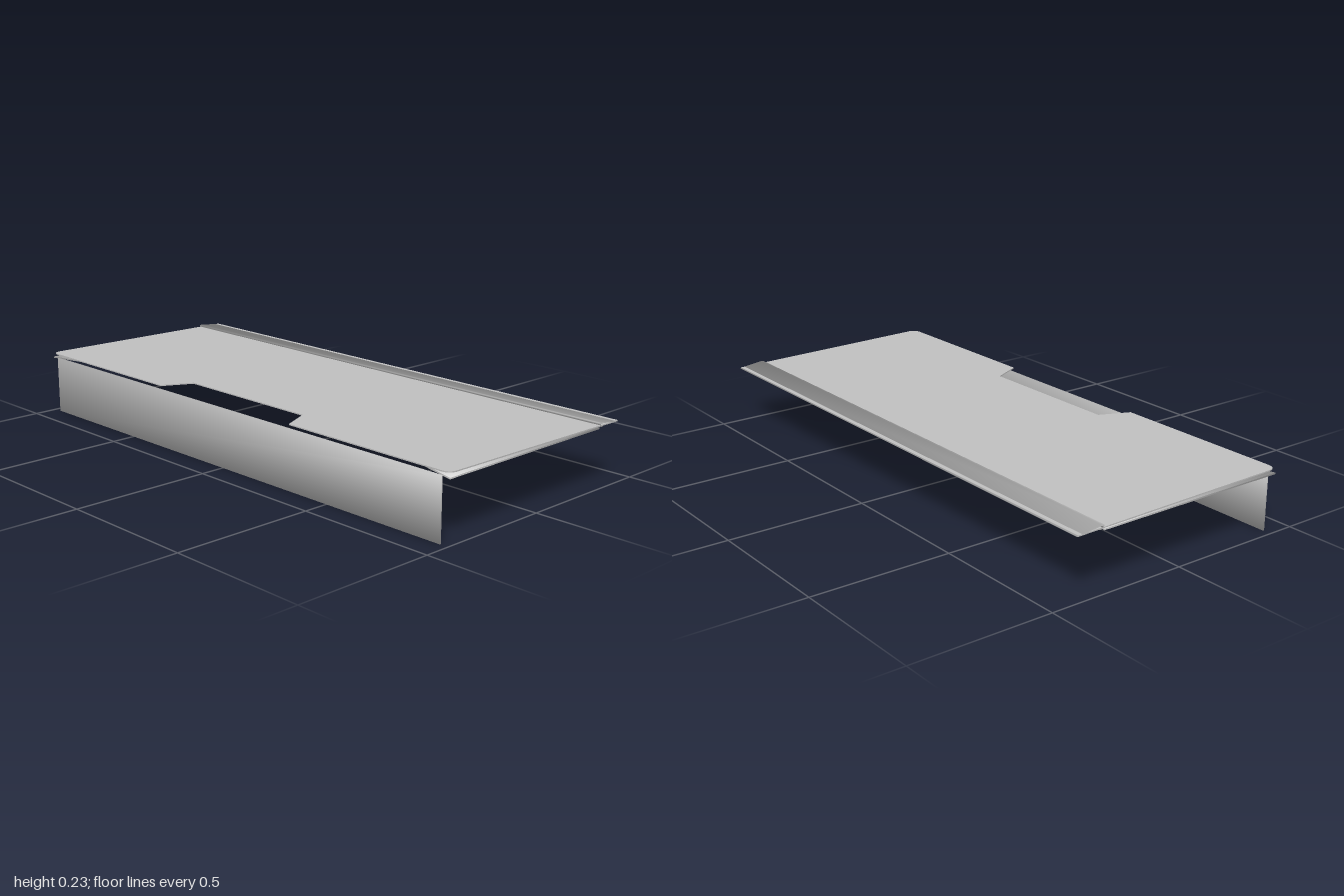
import * as THREE from 'three';
import { toCreasedNormals } from 'three/addons/utils/BufferGeometryUtils.js';

const metal = new THREE.MeshStandardMaterial({ color: 0xc0c0c0 });
metal.name = 'grey sheet metal';

function add(group, name, geometry) {
  const mesh = new THREE.Mesh(geometry, metal);
  mesh.name = name;
  group.add(mesh);
}

// Normals blended across every edge, as on pressed sheet
const soft = (geometry) => toCreasedNormals(geometry, Math.PI);

// Flat sheet: an outline in (x, z), given thickness upwards from y
function sheet(points, y, thickness) {
  const shape = new THREE.Shape(points.map(([x, z]) => new THREE.Vector2(x, -z)));
  return new THREE.ExtrudeGeometry(shape, { depth: thickness, bevelEnabled: false })
    .rotateX(-Math.PI / 2).translate(0, y, 0);
}

export function createModel() {
  const group = new THREE.Group();
  group.name = 'sheetMetalShelf';

  // Sloping top with rounded front corners and a notch in the front edge
  const front = 0.412, back = -0.41, r = 0.028;
  const half = [[0.28, 0.305], [0.33, front]];
  for (let i = 0; i <= 4; i++) {
    const a = (i / 4) * Math.PI / 2;
    half.push([1 - r + r * Math.sin(a), front - r + r * Math.cos(a)]);
  }
  half.push([1, back]);
  const mirrored = half.map(([x, z]) => [-x, z]).reverse();
  const top = sheet([...half, ...mirrored], 0, 0.004);
  const p = top.attributes.position;
  for (let i = 0; i < p.count; i++) {
    const t = (p.getZ(i) - back) / (front - back);
    p.setY(i, p.getY(i) + 0.2105 + 0.011 * t);
  }
  top.computeVertexNormals();
  add(group, 'topPanel', top);

  // Front apron
  add(group, 'frontPanel', soft(new THREE.BoxGeometry(1.94, 0.21, 0.005).translate(0, 0.105, 0.4095)));

  // Tapered flanges folded in under both ends
  for (const s of [1, -1]) {
    const outline = [[s, 0.41], [s, -0.312], [s * 0.7, -0.22], [s * 0.7, 0.325]];
    add(group, s > 0 ? 'leftFlange' : 'rightFlange', soft(sheet(outline, 0.2045, 0.005)));
  }

  // Folded hem along the back edge, with a small curl at its front
  const profile = [
    [-0.413, 0.2105], [-0.413, 0.2125], [-0.322, 0.2235], [-0.313, 0.2235], [-0.311, 0.219],
    [-0.324, 0.208], [-0.327, 0.2095], [-0.316, 0.2195], [-0.321, 0.221],
  ].map(([z, y]) => new THREE.Vector2(z, y));
  const hem = new THREE.ExtrudeGeometry(new THREE.Shape(profile), { depth: 2, bevelEnabled: false })
    .rotateY(-Math.PI / 2).translate(1, 0, 0);
  add(group, 'rearHem', soft(hem));

  return group;
}
